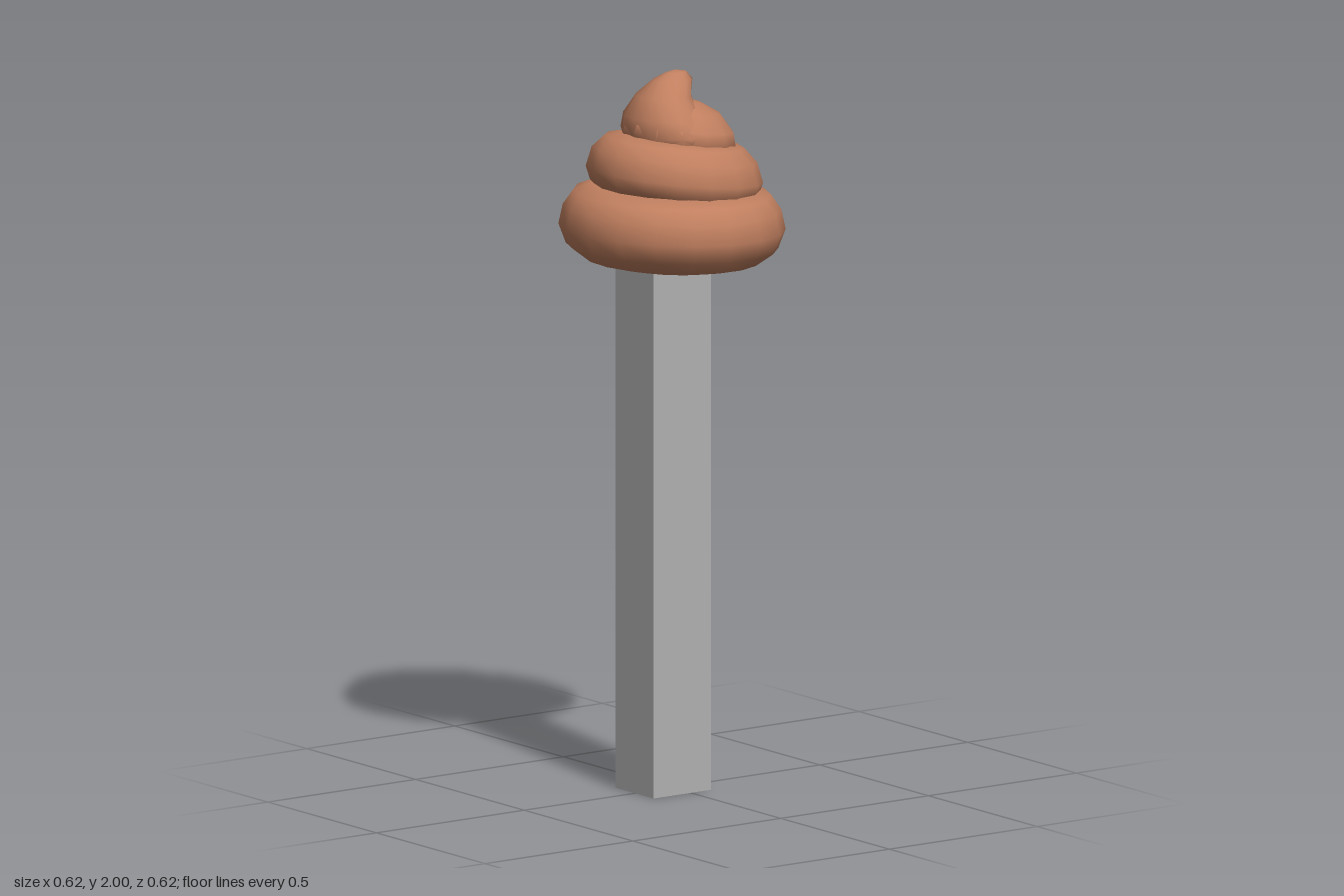
import * as THREE from 'three';
import { mergeVertices } from 'three/addons/utils/BufferGeometryUtils.js';

// Closed oval rings stacked upward: [y, half width, front z, back z].
// tilt raises the front and lowers the back.
function ovalLoft(sections, sides, tilt, turn) {
  const profile = sections.map(([y]) => new THREE.Vector2(1, y));
  let geo = new THREE.LatheGeometry(profile, sides, turn);
  const pos = geo.attributes.position;
  for (let i = 0; i < pos.count; i++) {
    const [y, halfWidth, front, back] = sections[i % sections.length];
    const z = (front + back) / 2 + pos.getZ(i) * (front - back) / 2;
    pos.setXYZ(i, pos.getX(i) * halfWidth, y + z * tilt, z);
  }
  geo.deleteAttribute('normal');
  geo.deleteAttribute('uv');
  geo = mergeVertices(geo, 1e-5);
  geo.computeVertexNormals();
  return geo;
}

// Round coil from [radius, y] points, centred at z
const coil = (points, z) => points.map(([r, y]) => [y, r, z + r, z - r]);

export function createModel() {
  const group = new THREE.Group();
  const brown = new THREE.MeshStandardMaterial({ color: 0xc07f5f });
  brown.name = 'warm brown';
  const grey = new THREE.MeshStandardMaterial({ color: 0xb0b0b0 });
  grey.name = 'post grey';

  const add = (name, geometry, material) => {
    const mesh = new THREE.Mesh(geometry, material);
    mesh.name = name;
    group.add(mesh);
    return mesh;
  };

  // Square post, set slightly forward
  add('post', new THREE.BoxGeometry(0.176, 1.52, 0.195), grey).position.set(-0.002, 0.76, 0.028);

  // Swirl coils, shrinking upward
  add('bottomCoil', ovalLoft(coil([
    [0, 1.462], [0.16, 1.458], [0.24, 1.475], [0.29, 1.512], [0.31, 1.565],
    [0.298, 1.62], [0.27, 1.66], [0.22, 1.68], [0, 1.68],
  ], 0), 18, 0.04, 0.1), brown);

  add('middleCoil', ovalLoft(coil([
    [0, 1.64], [0.2, 1.645], [0.23, 1.672], [0.242, 1.71], [0.226, 1.765],
    [0.19, 1.802], [0.14, 1.815], [0, 1.815],
  ], -0.008), 16, 0.13, 0.2), brown);

  add('topCoil', ovalLoft(coil([
    [0, 1.76], [0.135, 1.77], [0.158, 1.81], [0.152, 1.845],
    [0.115, 1.893], [0.06, 1.918], [0, 1.925],
  ], -0.022), 14, 0.15, 0.1), brown);

  // Pointed tip curling over toward the back
  add('tip', ovalLoft([
    [1.80, 0, 0.02, 0.02],
    [1.80, 0.145, 0.12, -0.12],
    [1.835, 0.148, 0.133, -0.10],
    [1.88, 0.122, 0.13, -0.055],
    [1.935, 0.082, 0.102, -0.045],
    [1.975, 0.046, 0.058, -0.06],
    [1.993, 0.02, 0.02, -0.045],
    [2.0, 0, -0.01, -0.01],
  ], 14, 0, 0), brown);

  return group;
}
